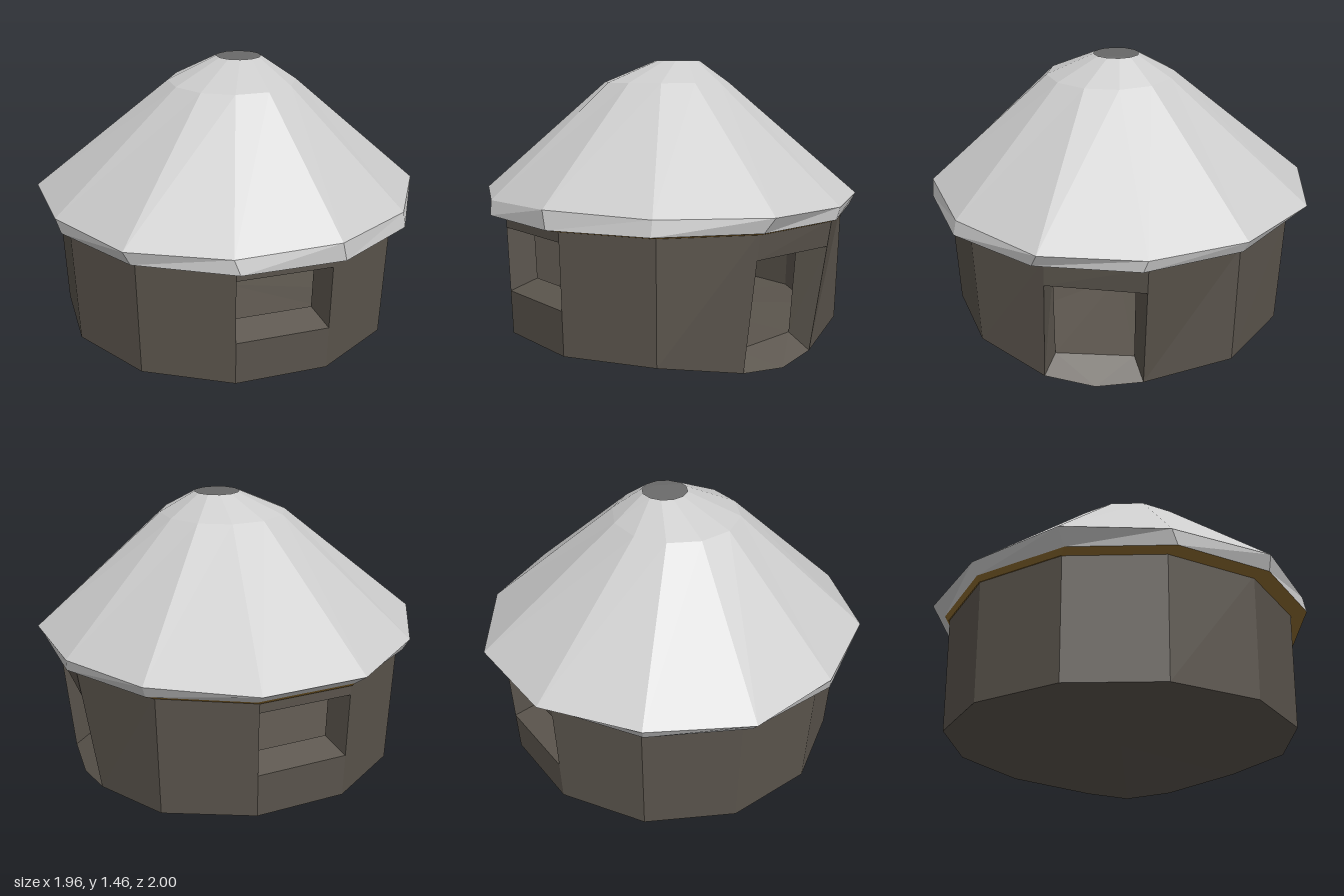
import * as THREE from 'three';

const N = 12;
const V = (x, y, z) => new THREE.Vector3(x, y, z);
const mix = (a, b, t) => a.clone().lerp(b, t);
// Point on a column at a given height
const at = (bottom, top, y) => mix(bottom, top, (y - bottom.y) / (top.y - bottom.y));

// Twelve points starting at the front and running towards +x
function ring(radius, y, cx = 0, cz = 0) {
  return Array.from({ length: N }, (_, i) => {
    const a = (i * Math.PI * 2) / N;
    return V(cx + radius * Math.sin(a), y, cz + radius * Math.cos(a));
  });
}

// Collects flat faces, corners counter-clockwise from the visible side
class Faces {
  constructor() { this.points = []; }
  face(...p) {
    for (let i = 1; i < p.length - 1; i++) this.points.push(p[0], p[i], p[i + 1]);
  }
  band(lower, upper) {
    for (let i = 0; i < N; i++) {
      const j = (i + 1) % N;
      this.face(lower[i], lower[j], upper[j], upper[i]);
    }
  }
  mesh(name, color) {
    const geometry = new THREE.BufferGeometry().setFromPoints(this.points);
    geometry.computeVertexNormals();
    const material = new THREE.MeshStandardMaterial({ color, flatShading: true, side: THREE.DoubleSide });
    const mesh = new THREE.Mesh(geometry, material);
    mesh.name = name;
    return mesh;
  }
}

function buildWalls() {
  const wall = new Faces();
  const outBottom = ring(0.89, 0.09), outTop = ring(0.91, 0.7);
  const inBottom = ring(0.75, 0.15), inTop = ring(0.77, 0.7);

  // The base sags and leans around the doorway
  outBottom[2].set(0.72, 0.03, 0.47);
  outBottom[3].set(0.83, 0.025, 0);
  outBottom[4].set(0.77, 0.075, -0.45);
  outTop[3].set(0.93, 0.7, 0);
  inBottom[2].set(0.65, 0.11, 0.41);
  inBottom[3].set(0.73, 0.11, 0.03);
  inTop[2].set(0.67, 0.7, 0.41);
  inTop[3].set(0.77, 0.7, 0.03);
  const doorStep = V(0.8, 0, 0.23);

  // Openings by panel: outer sill, inner sill and head heights
  const windowHole = { sill: 0.31, inSill: 0.36, head: 0.635 };
  const openings = { 2: { door: true, head: 0.565 }, 5: windowHole, 11: windowHole };

  for (let i = 0; i < N; i++) {
    const j = (i + 1) % N, hole = openings[i];
    if (!hole) {
      wall.face(outBottom[i], outBottom[j], outTop[j], outTop[i]);
      wall.face(inBottom[j], inBottom[i], inTop[i], inTop[j]);
      continue;
    }
    const out = (k, y) => at(outBottom[k], outTop[k], y);
    const inn = (k, y) => at(inBottom[k], inTop[k], y);
    const [oi, oj] = hole.door ? [outBottom[i], outBottom[j]] : [out(i, hole.sill), out(j, hole.sill)];
    const [ii, ij] = hole.door ? [inBottom[i], inBottom[j]] : [inn(i, hole.inSill), inn(j, hole.inSill)];
    const hoi = out(i, hole.head), hoj = out(j, hole.head);
    const hii = inn(i, hole.head), hij = inn(j, hole.head);

    // Wall above the opening, its head and its jambs
    wall.face(hoi, hoj, outTop[j], outTop[i]);
    wall.face(hij, hii, inTop[i], inTop[j]);
    wall.face(hoj, hoi, hii, hij);
    wall.face(oi, ii, hii, hoi);
    wall.face(ij, oj, hoj, hij);
    if (hole.door) {
      // Threshold with a raised inner edge
      wall.face(oi, doorStep, ii);
      wall.face(doorStep, ij, ii);
      wall.face(doorStep, oj, ij);
    } else {
      // Sloping sill and wall below it
      wall.face(oi, oj, ij, ii);
      wall.face(outBottom[i], outBottom[j], oj, oi);
      wall.face(inBottom[j], inBottom[i], ii, ij);
    }
  }

  // Floor and underside
  const floor = new Faces();
  const floorCentre = V(0, 0.14, 0), baseCentre = V(0, 0.08, 0);
  const base = [...outBottom.slice(0, 3), doorStep, ...outBottom.slice(3)];
  inBottom.forEach((p, i) => floor.face(floorCentre, p, inBottom[(i + 1) % N]));
  base.forEach((p, i) => floor.face(baseCentre, base[(i + 1) % base.length], p));
  return [wall.mesh('walls', 0x5a544c), floor.mesh('floor', 0x5a544c)];
}

function buildRoof() {
  // Uneven eave edge, then a tilted shoulder and an off-centre smoke hole
  const eave = [
    [-0.02, 0.795, 0.99], [0.48, 0.78, 0.85], [0.88, 0.775, 0.49], [0.975, 0.765, 0.01],
    [0.86, 0.765, -0.47], [0.51, 0.76, -0.87], [0, 0.757, -1], [-0.5, 0.765, -0.835],
    [-0.885, 0.775, -0.49], [-0.98, 0.775, 0], [-0.87, 0.775, 0.51], [-0.5, 0.775, 0.84],
  ].map((p) => V(...p));
  const shoulder = ring(0.328, 1.343, 0, 0.047);
  const smokeHole = ring(0.115, 1.455, 0.055, 0.025);
  const lip = ring(0.965, 0.705, 0, 0.03);
  const soffit = ring(0.915, 0.685);
  const soffitInner = ring(0.76, 0.7);

  const roof = new Faces();
  roof.band(lip, eave);
  roof.band(eave, shoulder);
  roof.band(shoulder, smokeHole);

  const underside = new Faces();
  underside.band(soffit, lip);
  underside.band(soffitInner, soffit);
  return [roof.mesh('roof', 0xcccccc), underside.mesh('eaveUnderside', 0x8f6c30)];
}

export function createModel() {
  const hut = new THREE.Group();
  hut.name = 'roundHut';
  hut.add(...buildWalls(), ...buildRoof());
  return hut;
}
